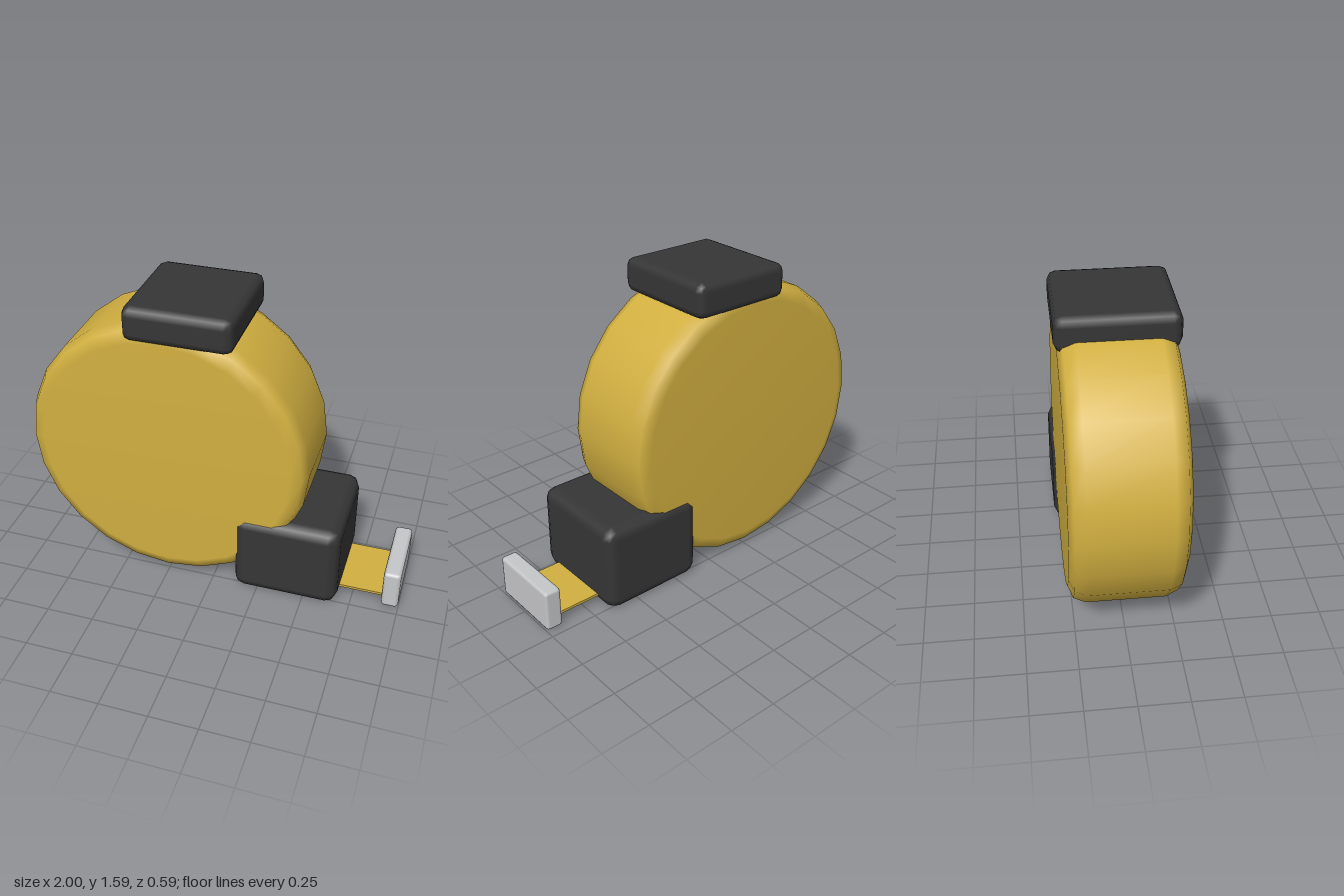
import * as THREE from 'three';
import { RoundedBoxGeometry } from 'three/addons/geometries/RoundedBoxGeometry.js';

const mat = (name, color) => {
  const m = new THREE.MeshStandardMaterial({ color });
  m.name = name;
  return m;
};

export function createModel() {
  const group = new THREE.Group();
  const yellow = mat('yellow', 0xd1af40);
  const black = mat('black', 0x363636);
  const steel = mat('steel', 0xc6c7c9);

  const add = (name, geometry, material, x, y, z = 0) => {
    const mesh = new THREE.Mesh(geometry, material);
    mesh.name = name;
    mesh.position.set(x, y, z);
    group.add(mesh);
    return mesh;
  };
  const rounded = (w, h, d, r) => new RoundedBoxGeometry(w, h, d, 1, r);

  // Drum-shaped case: a disc with a two-step rounded rim
  const R = 0.745, half = 0.28, bevel = 0.085;
  const profile = [new THREE.Vector2(0, -half)];
  for (const side of [-1, 1]) {
    for (let i = 0; i <= 2; i++) {
      const a = ((side < 0 ? 2 - i : i) * Math.PI) / 4;
      profile.push(new THREE.Vector2(
        R - bevel + bevel * Math.cos(a),
        side * (half - bevel + bevel * Math.sin(a))
      ));
    }
  }
  profile.push(new THREE.Vector2(0, half));
  const drum = new THREE.LatheGeometry(profile, 24);
  drum.rotateX(Math.PI / 2);
  add('case', drum, yellow, -0.255, 0.75);

  // Lock button on top and tape mouth at the base
  add('lockButton', rounded(0.555, 0.18, 0.59, 0.045), black, -0.163, 1.495);
  add('tapeMouth', rounded(0.56, 0.465, 0.59, 0.06), black, 0.4, 0.2325);

  // Tape blade and its end hook
  add('blade', new THREE.BoxGeometry(0.34, 0.014, 0.35), yellow, 0.77, 0.05);
  add('hook', rounded(0.09, 0.22, 0.41, 0.018), steel, 0.953, 0.11);

  return group;
}
